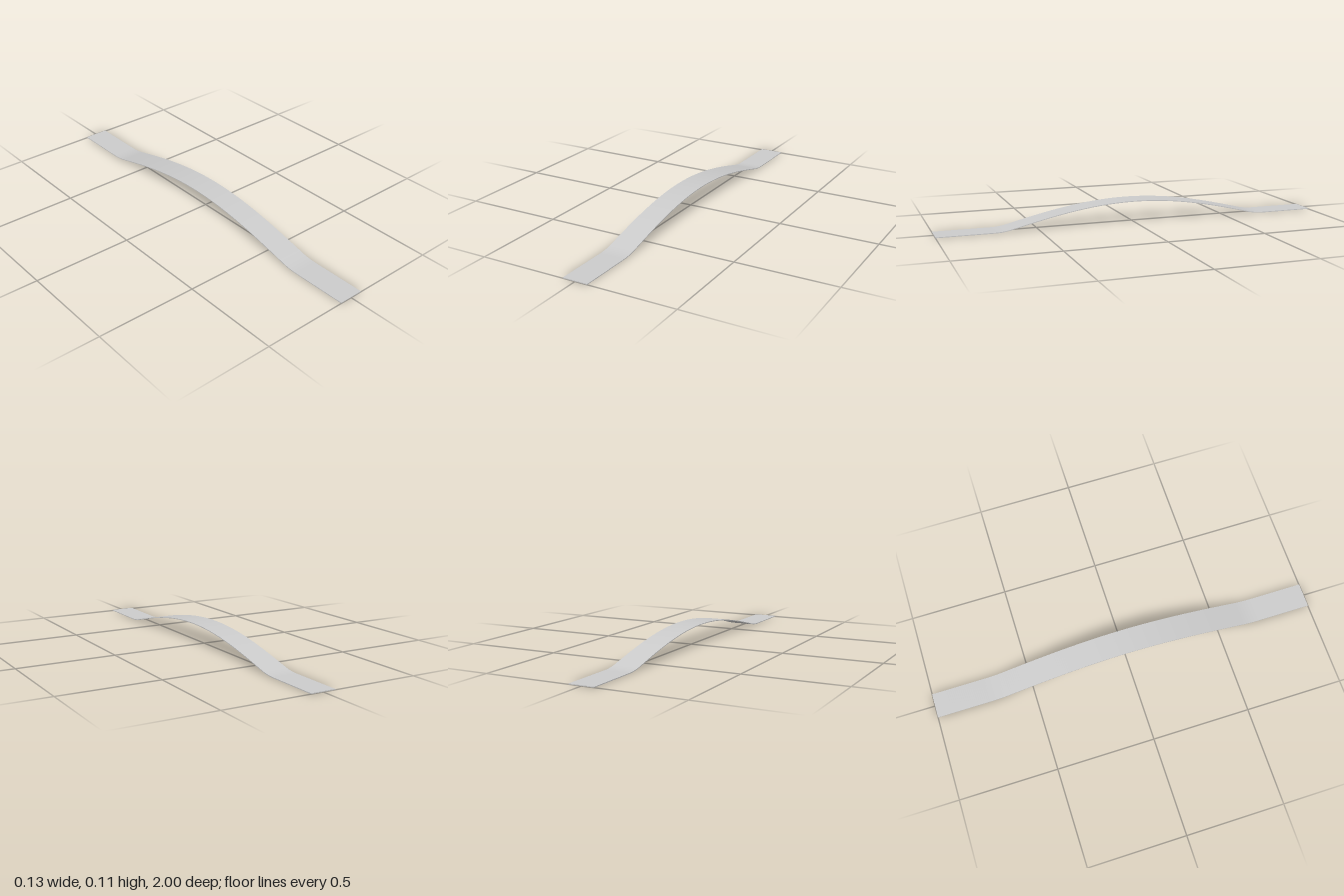
import * as THREE from 'three';

const WIDTH = 0.127, LENGTH = 2, THICKNESS = 0.004;
const RISE = 0.108;       // height of the arch's underside
const ARCH_END = 0.63;    // where the arch meets the fillet
const FLAT_START = 0.72;  // where the fillet meets the flat end tab
const HALF_SPAN = 0.675;  // where the arch would reach the ground without a fillet

// Height of the underside: cosine arch, parabolic fillet, flat tab
function height(z) {
  const d = Math.abs(z);
  if (d >= FLAT_START) return 0;
  const arch = (t) => RISE * Math.cos((Math.PI / 2) * (t / HALF_SPAN));
  if (d <= ARCH_END) return arch(d);
  return arch(ARCH_END) * ((FLAT_START - d) / (FLAT_START - ARCH_END)) ** 2;
}

export function createModel() {
  const group = new THREE.Group();
  group.name = 'archedStrip';

  // Thin flat bar bent upward along its length
  const geometry = new THREE.BoxGeometry(WIDTH, THICKNESS, LENGTH, 1, 1, 200);
  const pos = geometry.attributes.position;
  for (let i = 0; i < pos.count; i++) {
    pos.setY(i, pos.getY(i) + THICKNESS / 2 + height(pos.getZ(i)));
  }
  geometry.computeVertexNormals();

  const strip = new THREE.Mesh(geometry, new THREE.MeshStandardMaterial({ color: 0xcccccc }));
  strip.name = 'bentStrip';
  group.add(strip);
  return group;
}
